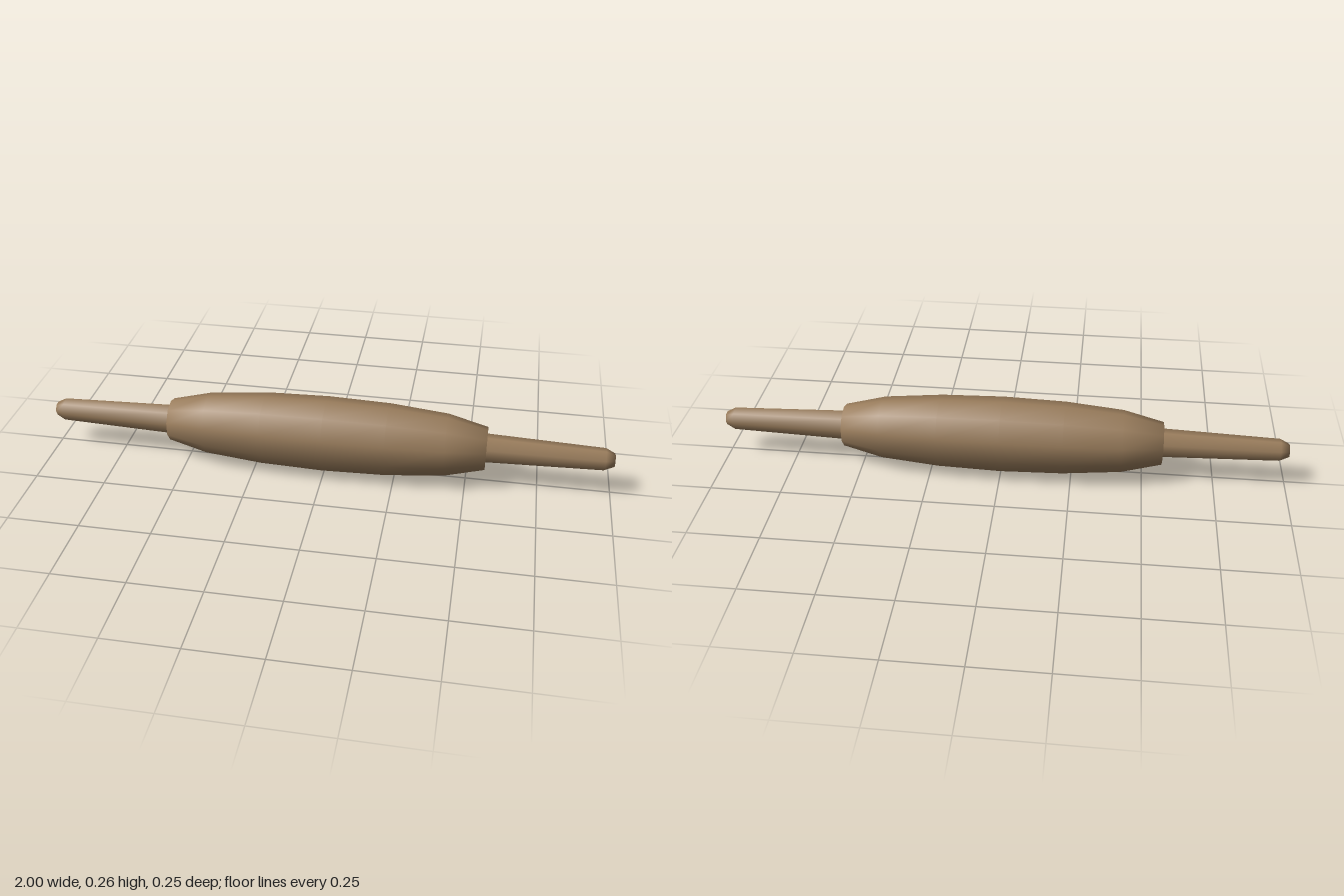
import * as THREE from 'three';

const AXIS_Y = 0.134;

// Turned shape along x from [x, radius] pairs
function turned(name, profile, sides, phiStart, material) {
  const points = profile.map(([x, r]) => new THREE.Vector2(r, x));
  const geometry = new THREE.LatheGeometry(points, sides, phiStart);
  geometry.rotateZ(-Math.PI / 2);
  const mesh = new THREE.Mesh(geometry, material);
  mesh.name = name;
  return mesh;
}

export function createModel() {
  const wood = new THREE.MeshStandardMaterial({ color: 0x9a7d5c });
  wood.name = 'wood';

  const model = new THREE.Group();
  model.name = 'rollingPin';

  // Ten-sided barrel, swelling towards the middle
  const half = [[0, 0.1325], [0.22, 0.127], [0.425, 0.109], [0.565, 0.075], [0.565, 0.03]];
  const barrel = half.slice(1).reverse().map(([x, r]) => [-x, r]).concat(half);
  const roller = turned('roller', barrel, 10, Math.PI / 2, wood);
  roller.position.y = AXIS_Y;
  model.add(roller);

  // Seven-sided tapered handles with chamfered tips
  const grip = [[0.54, 0.053], [0.968, 0.04], [1, 0.024], [1, 0]];
  const start = THREE.MathUtils.degToRad(-75);
  for (const [name, turn] of [['leftHandle', 0], ['rightHandle', Math.PI]]) {
    const handle = turned(name, grip, 7, start, wood);
    handle.position.y = AXIS_Y;
    handle.rotation.y = turn;
    model.add(handle);
  }
  return model;
}
